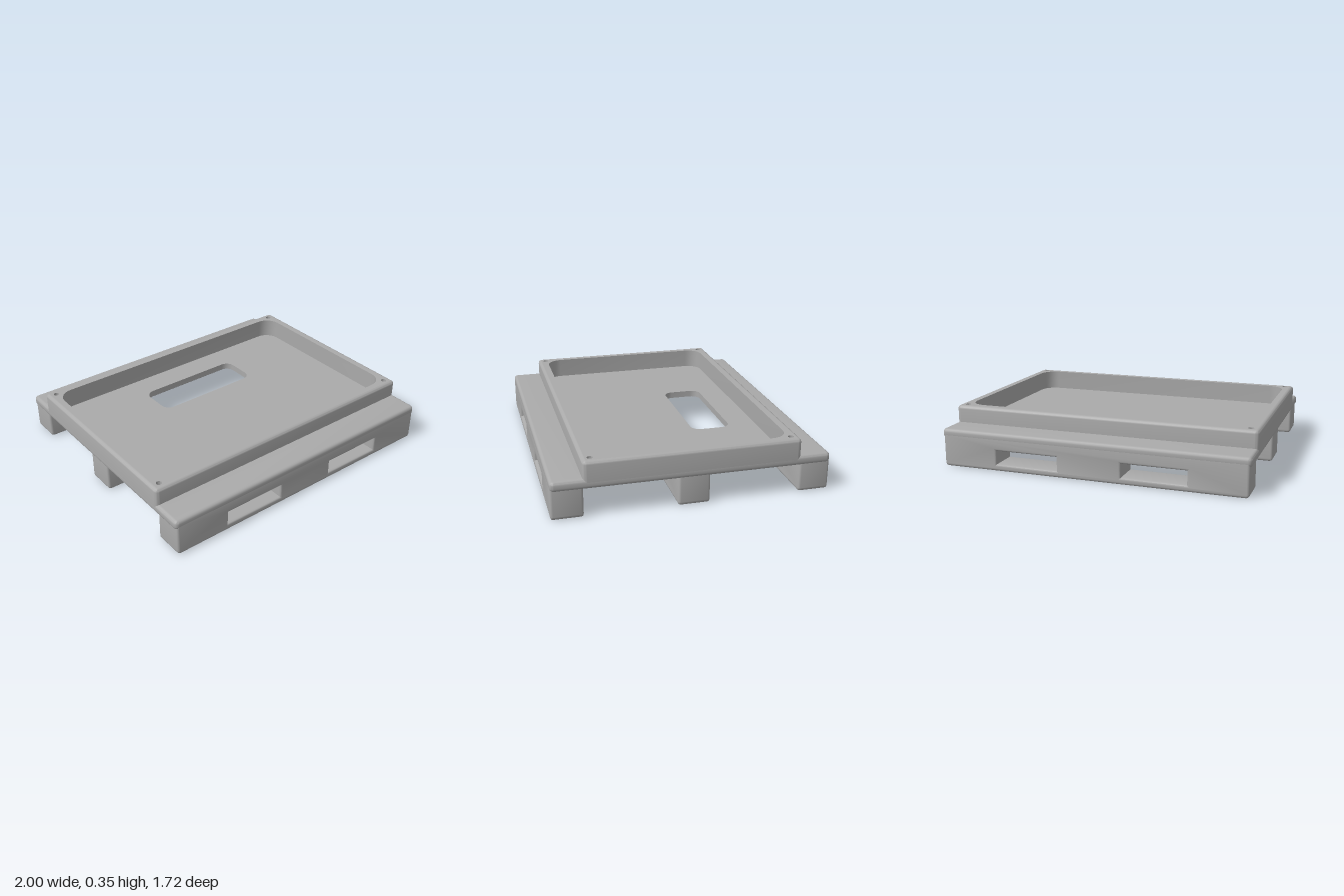
import * as THREE from 'three';
import { toCreasedNormals } from 'three/addons/utils/BufferGeometryUtils.js';

const CREASE = 0.7;
const FILLET = 0.022;

// Rounded rectangle points in plan, running from +x towards +z
function outline(cx, cz, hx, hz, r, steps = 6) {
  const pts = [];
  [[1, 1], [-1, 1], [-1, -1], [1, -1]].forEach(([sx, sz], k) => {
    for (let i = 0; i <= steps; i++) {
      const a = (k + i / steps) * Math.PI / 2;
      pts.push([cx + sx * (hx - r) + r * Math.cos(a), cz + sz * (hz - r) + r * Math.sin(a)]);
    }
  });
  return pts;
}

// Skin a list of { pts, y } rings
function loft(rings) {
  const n = rings[0].pts.length;
  const pos = [], idx = [];
  rings.forEach(({ pts, y }) => pts.forEach(([x, z]) => pos.push(x, y, z)));
  for (let k = 0; k < rings.length - 1; k++) {
    for (let i = 0; i < n; i++) {
      const a = k * n + i, b = k * n + (i + 1) % n;
      idx.push(a, a + n, b, b, a + n, b + n);
    }
  }
  const g = new THREE.BufferGeometry();
  g.setAttribute('position', new THREE.Float32BufferAttribute(pos, 3));
  g.setIndex(idx);
  return toCreasedNormals(g, CREASE);
}

// Rings of a quarter-round edge; from/to are angles, 0 = side wall, PI/2 = top
function filletRings(hx, hz, y, from, to) {
  const rings = [];
  for (let i = 0; i <= 4; i++) {
    const a = from + (to - from) * i / 4;
    const d = FILLET * (1 - Math.cos(a));
    rings.push({ pts: outline(0, 0, hx - d, hz - d, 0.026 - d), y: y + FILLET * Math.sin(a) });
  }
  return rings;
}

const path = (pts, Type) => new Type(pts.map(([x, y]) => new THREE.Vector2(x, y)));

export function createModel() {
  const group = new THREE.Group();
  const plastic = new THREE.MeshStandardMaterial({ color: 0xaaaaaa });
  plastic.name = 'grey plastic';
  const add = (name, geometry, parent = group) => {
    const m = new THREE.Mesh(geometry, plastic);
    m.name = name;
    parent.add(m);
    return m;
  };

  const bottom = 0.182, ledge = 0.245, top = 0.355, floor = 0.225;
  const hand = outline(0.02, -0.3, 0.37, 0.13, 0.06);
  const recess = outline(0, 0, 0.94, 0.607, 0.1);

  // Base deck with its front and back ledges
  add('baseDeck', loft([
    { pts: hand, y: bottom },
    ...filletRings(1, 0.862, bottom + FILLET, -Math.PI / 2, 0),
    ...filletRings(1, 0.862, ledge - FILLET, 0, Math.PI / 2),
    { pts: outline(0, 0, 0.96, 0.63, 0.1), y: ledge },
  ]));

  // Raised tray: outer wall, then recess wall, floor and cut-out
  add('trayWall', loft([
    { pts: outline(0, 0, 1, 0.67, 0.026), y: 0.204 },
    ...filletRings(1, 0.67, top - FILLET, 0, Math.PI / 2),
  ]));
  add('trayRecess', loft([
    { pts: recess, y: top },
    { pts: recess, y: floor },
    { pts: hand, y: floor },
    { pts: hand, y: bottom },
  ]));

  // Flat rim with four small corner holes
  const holeR = 0.018, holeDepth = 0.06;
  const rim = path(outline(0, 0, 1 - FILLET, 0.67 - FILLET, 0.004), THREE.Shape);
  rim.holes.push(path(recess, THREE.Path));
  const cornerHoles = new THREE.Group();
  cornerHoles.name = 'cornerHoles';
  group.add(cornerHoles);
  for (const sx of [-1, 1]) {
    for (const sz of [-1, 1]) {
      const x = sx * 0.943, z = sz * 0.617;
      const ring = outline(x, z, holeR, holeR, holeR, 4);
      rim.holes.push(path(ring, THREE.Path));
      add('cornerHole', loft([
        { pts: ring, y: top },
        { pts: ring, y: top - holeDepth },
        { pts: ring.map(() => [x, z]), y: top - holeDepth },
      ]), cornerHoles);
    }
  }
  add('trayRim', new THREE.ShapeGeometry(rim).rotateX(-Math.PI / 2)).position.y = top;

  // Three runners, each with two fork openings
  const bevel = 0.015, depth = 0.195;
  const side = path(outline(0, 0.11, 0.99, 0.11, 0.022), THREE.Shape);
  for (const s of [-1, 1]) {
    side.holes.push(path([
      [s * 0.415 - 0.205, 0.043], [s * 0.415 + 0.205, 0.043],
      [s * 0.415 + 0.205, 0.13], [s * 0.415 - 0.205, 0.13],
    ], THREE.Path));
  }
  const runner = toCreasedNormals(new THREE.ExtrudeGeometry(side, {
    depth: depth - 2 * bevel, bevelThickness: bevel, bevelSize: bevel,
    bevelOffset: -bevel, bevelSegments: 3,
  }).translate(0, 0, bevel - depth / 2), CREASE);
  [['frontRunner', 0.7645], ['middleRunner', 0], ['backRunner', -0.7645]].forEach(([name, z]) => {
    add(name, runner).position.z = z;
  });

  return group;
}
